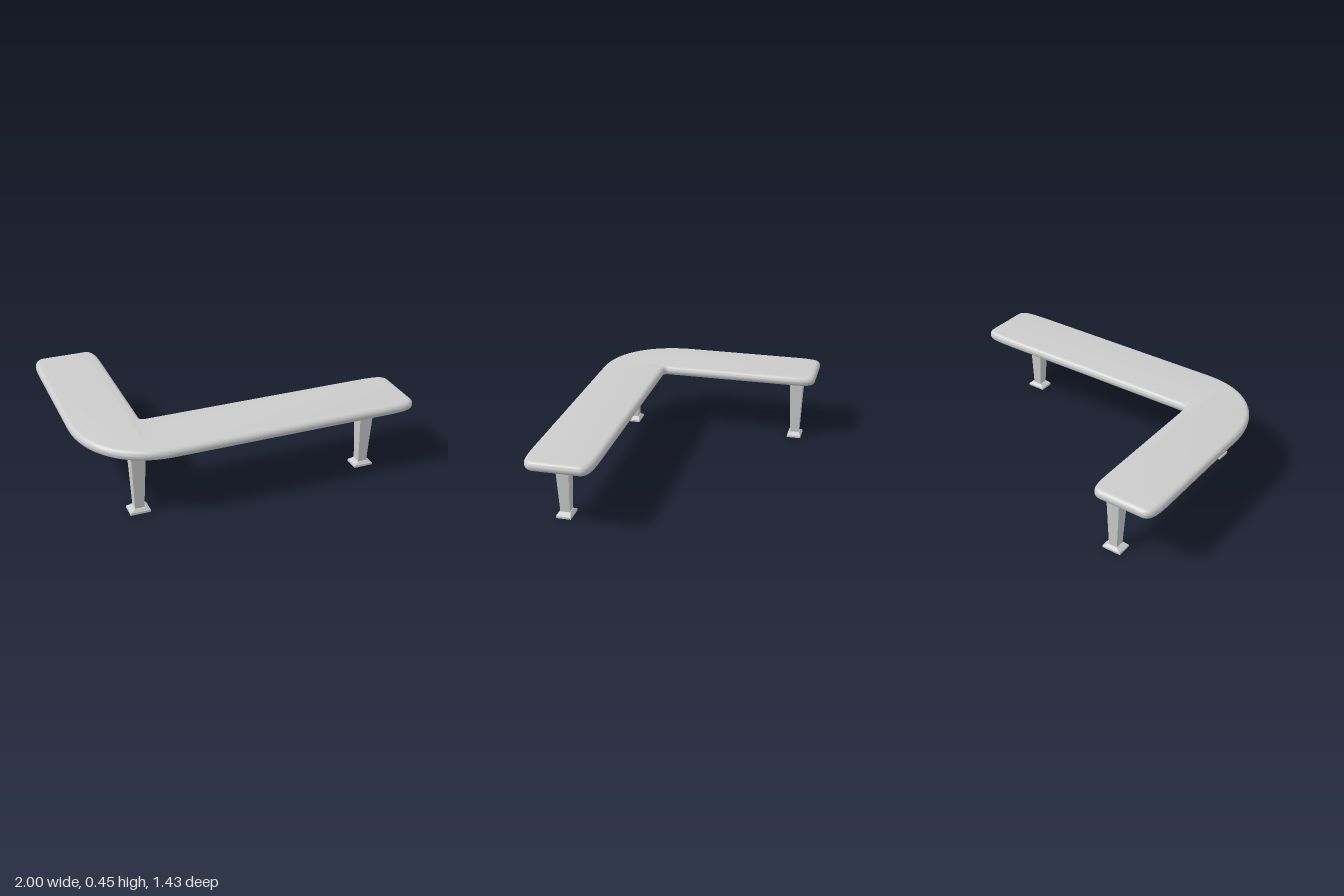
import * as THREE from 'three';
import { toCreasedNormals } from 'three/addons/utils/BufferGeometryUtils.js';

const material = new THREE.MeshStandardMaterial({ color: 0xcccccc });
const flatMaterial = new THREE.MeshStandardMaterial({ color: 0xcccccc, flatShading: true });

// L-shaped slab with a round-nosed edge; the outline is inset by the nose radius
function createSeat() {
  const nose = 0.03;
  const s = new THREE.Shape();
  const line = (x, z) => s.lineTo(x, -z);
  const curve = (ax, az, bx, bz, x, z) => s.bezierCurveTo(ax, -az, bx, -bz, x, -z);

  s.moveTo(-0.97, 0.52);
  // outer bend
  line(-0.97, 0.2);
  curve(-0.97, 0.48, -0.8, 0.683, -0.52, 0.683);
  // end of the long arm
  line(0.78, 0.683);
  curve(0.93, 0.683, 0.97, 0.672, 0.97, 0.64);
  line(0.97, 0.37);
  curve(0.97, 0.338, 0.93, 0.33, 0.78, 0.33);
  // inner corner
  line(-0.56, 0.33);
  curve(-0.6, 0.33, -0.62, 0.31, -0.62, 0.27);
  // end of the short arm
  line(-0.62, -0.52);
  curve(-0.62, -0.64, -0.628, -0.683, -0.66, -0.683);
  line(-0.93, -0.683);
  curve(-0.962, -0.683, -0.97, -0.64, -0.97, -0.52);

  const geo = new THREE.ExtrudeGeometry(s, {
    depth: 0.004, bevelThickness: 0.029, bevelSize: nose, bevelSegments: 6, curveSegments: 16,
  });
  geo.rotateX(-Math.PI / 2).translate(0, 0.42, 0);
  const seat = new THREE.Mesh(toCreasedNormals(geo, 0.7), material);
  seat.name = 'seat';
  return seat;
}

// Rectangular tapered block between heights y0 and y1, sized [x, z] at each end
function taper(name, y0, y1, bottom, top) {
  const geo = new THREE.BoxGeometry(1, 1, 1);
  const p = geo.attributes.position;
  for (let i = 0; i < p.count; i++) {
    const up = p.getY(i) > 0;
    const size = up ? top : bottom;
    p.setXYZ(i, p.getX(i) * size[0], up ? y1 : y0, p.getZ(i) * size[1]);
  }
  geo.computeVertexNormals();
  const mesh = new THREE.Mesh(geo, flatMaterial);
  mesh.name = name;
  return mesh;
}

function createLeg(name, x, z) {
  const leg = new THREE.Group();
  leg.name = name;
  leg.add(
    taper('post', 0.028, 0.4, [0.055, 0.057], [0.088, 0.088]),
    taper('footSlope', 0.013, 0.03, [0.12, 0.092], [0.058, 0.066]),
    taper('footPlate', 0, 0.013, [0.12, 0.092], [0.12, 0.092]),
  );
  leg.position.set(x, 0, z);
  return leg;
}

export function createModel() {
  const bench = new THREE.Group();
  bench.name = 'cornerBench';
  bench.add(
    createSeat(),
    createLeg('cornerLeg', -0.697, 0.548),
    createLeg('backLeg', -0.697, -0.59),
    createLeg('sideLeg', 0.735, 0.548),
  );
  return bench;
}
